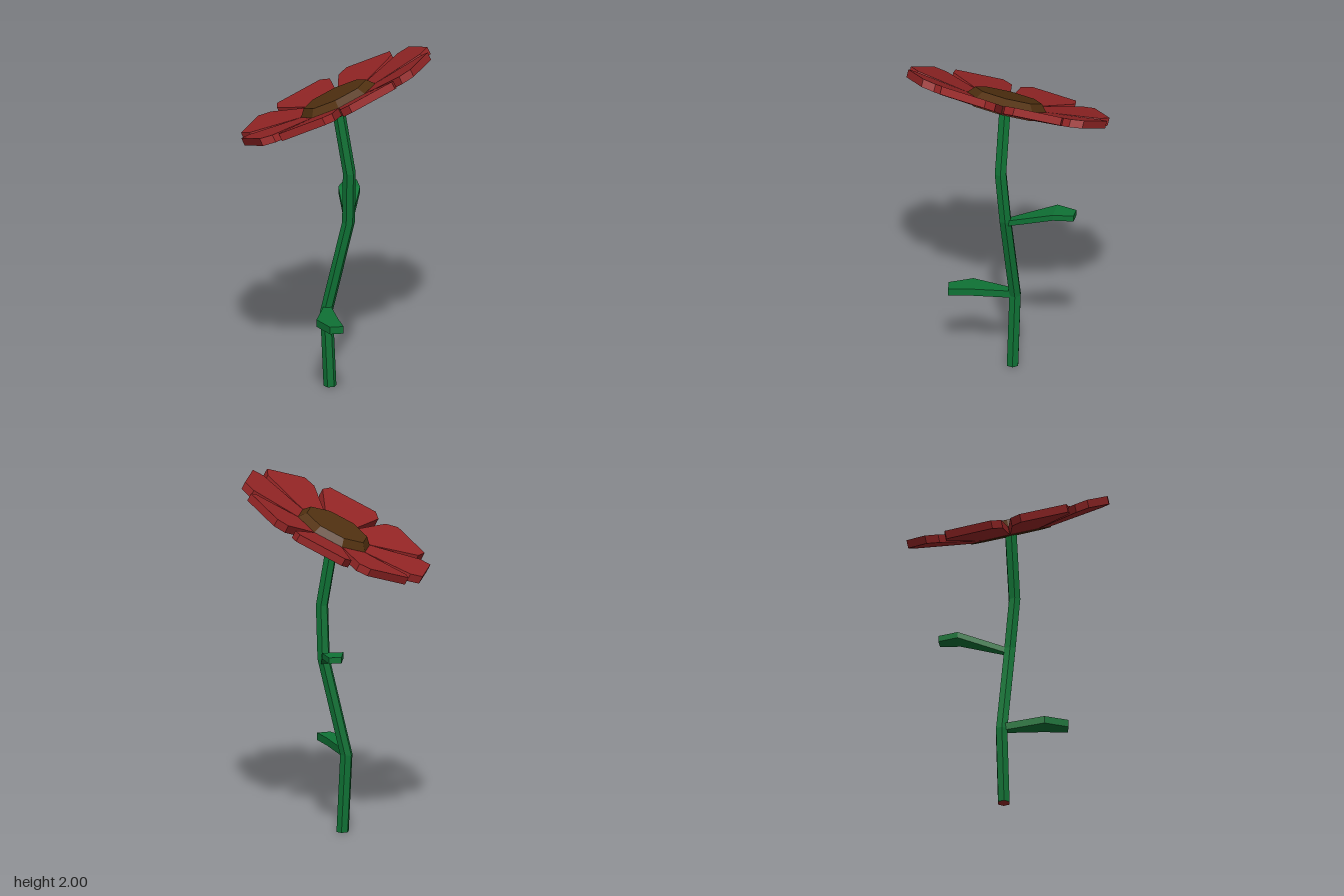
import * as THREE from 'three';

const V = (x, y, z) => new THREE.Vector3(x, y, z);
const UP = V(0, 1, 0);
const SIDES = 6;
const STEM_RADIUS = 0.036;

function flatMaterial(name, color) {
  const m = new THREE.MeshStandardMaterial({ color, flatShading: true });
  m.name = name;
  return m;
}

// Skin equal-sized rings into a closed faceted solid
function loft(rings) {
  const pos = [];
  const tri = (a, b, c) => [a, b, c].forEach((p) => pos.push(p.x, p.y, p.z));
  const n = rings[0].length;
  for (let i = 0; i < rings.length - 1; i++) {
    for (let j = 0; j < n; j++) {
      const k = (j + 1) % n;
      tri(rings[i][j], rings[i][k], rings[i + 1][k]);
      tri(rings[i][j], rings[i + 1][k], rings[i + 1][j]);
    }
  }
  const first = rings[0], last = rings[rings.length - 1];
  for (let j = 1; j < n - 1; j++) {
    tri(first[0], first[j + 1], first[j]);
    tri(last[0], last[j], last[j + 1]);
  }
  const g = new THREE.BufferGeometry();
  g.setAttribute('position', new THREE.Float32BufferAttribute(pos, 3));
  g.computeVertexNormals();
  return g;
}

// Flat blade from sections [x, y, z, halfWidth], with constant thickness
function blade(sections, thickness) {
  const centres = sections.map(([x, y, z]) => V(x, y, z));
  const dir = centres[centres.length - 1].clone().sub(centres[0]).setY(0).normalize();
  const side = UP.clone().cross(dir);
  const h = thickness / 2;
  return loft(sections.map((s, i) =>
    [[1, -1], [1, 1], [-1, 1], [-1, -1]].map(([a, b]) =>
      centres[i].clone().addScaledVector(side, a * s[3]).addScaledVector(UP, b * h))));
}

export function createModel() {
  const green = flatMaterial('stem green', 0x0f7235);
  const red = flatMaterial('petal red', 0x962626);
  const brown = flatMaterial('seed brown', 0x533211);

  const model = new THREE.Group();
  model.name = 'flower';
  const add = (parent, name, geometry, material) => {
    const mesh = new THREE.Mesh(geometry, material);
    mesh.name = name;
    parent.add(mesh);
    return mesh;
  };

  // Crooked six-sided stem
  const path = [
    V(-0.02, 0.002, -0.02), V(-0.037, 0.44, -0.033), V(0.078, 0.98, 0.017),
    V(0.078, 1.28, 0.043), V(0.018, 1.665, 0.02),
  ];
  add(model, 'stem', loft(path.map((p) =>
    Array.from({ length: SIDES }, (_, j) => {
      const a = Math.PI / 6 + (j * Math.PI * 2) / SIDES;
      return V(p.x + Math.sin(a) * STEM_RADIUS, p.y, p.z + Math.cos(a) * STEM_RADIUS);
    }))), green);

  // Red cut end under the stem
  const cut = add(model, 'stemCutEnd', new THREE.CircleGeometry(STEM_RADIUS, SIDES), red);
  cut.rotation.x = Math.PI / 2;
  cut.position.set(-0.02, 0, -0.02);

  // Leaves
  add(model, 'upperLeaf', blade([
    [0.08, 0.97, 0, 0.02], [0.125, 1.06, -0.26, 0.06], [0.15, 1.057, -0.37, 0.035],
  ], 0.034), green);
  add(model, 'lowerLeaf', blade([
    [-0.035, 0.45, -0.02, 0.02], [-0.07, 0.462, 0.2, 0.06], [-0.038, 0.466, 0.335, 0.038],
  ], 0.042), green);

  // Tilted flower head
  const head = new THREE.Group();
  head.name = 'flowerHead';
  head.position.set(0.04, 1.655, 0.022);
  head.quaternion.setFromUnitVectors(UP, V(-0.439, 1, -0.258).normalize());
  model.add(head);

  // Eight-sided centre with a bevelled top
  const turn = THREE.MathUtils.degToRad(6);
  const profile = [[0, 0], [0.226, 0], [0.226, 0.05], [0.19, 0.09], [0, 0.09]]
    .map(([r, y]) => new THREE.Vector2(r, y));
  add(head, 'flowerCentre', new THREE.LatheGeometry(profile, 8), brown).rotation.y = -turn;

  // Petals, one on each side of the centre
  const petal = blade([
    [0.206, 0.027, 0, 0.084], [0.49, 0.067, 0, 0.175], [0.555, 0.077, 0, 0.142],
  ], 0.045);
  for (let i = 0; i < 8; i++) {
    add(head, 'petal', petal, red).rotation.y = -(turn + Math.PI / 8 + (i * Math.PI) / 4);
  }
  return model;
}
